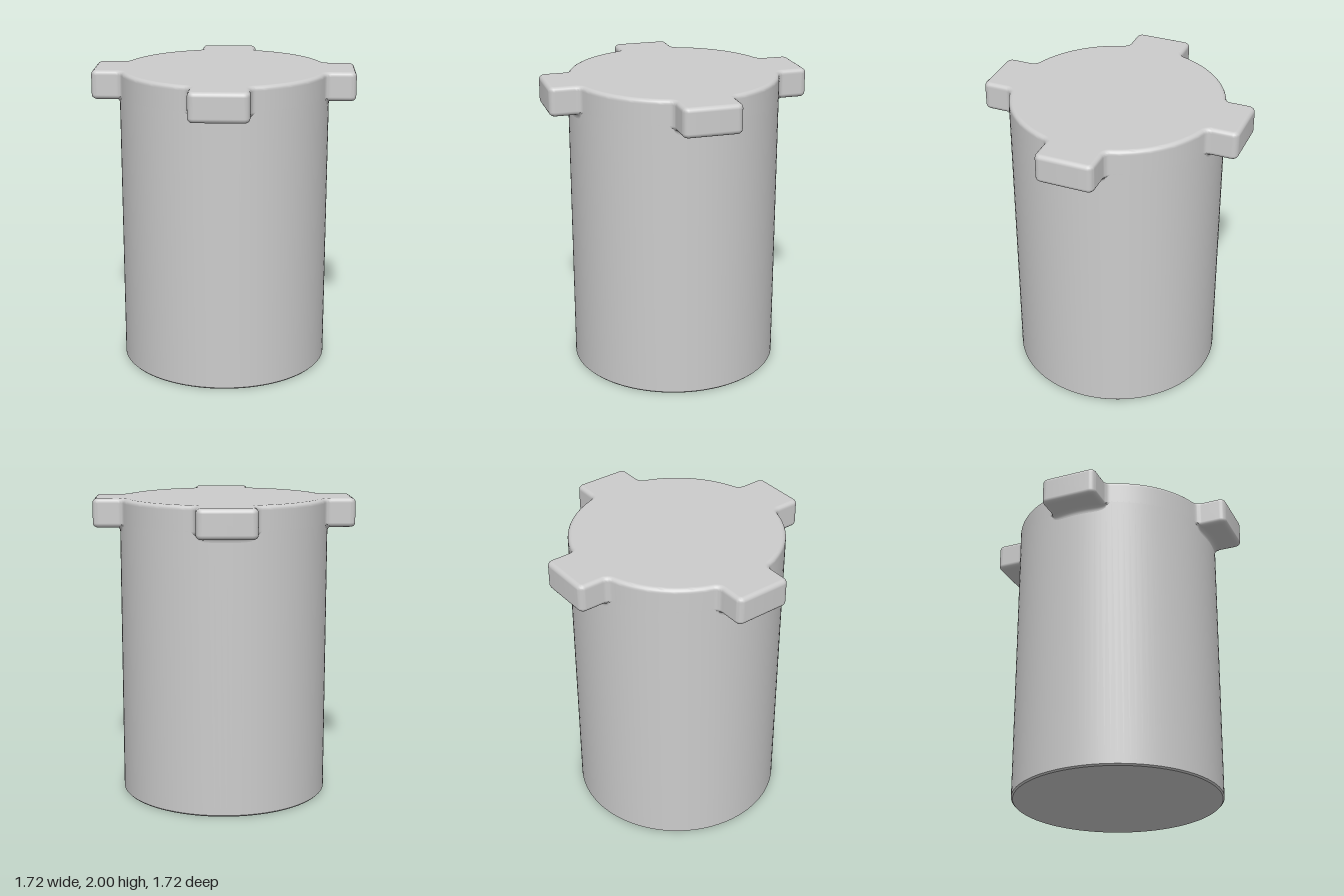
import * as THREE from 'three';
import { toCreasedNormals } from 'three/addons/utils/BufferGeometryUtils.js';

const R = 0.69;        // body radius
const L = 0.86;        // lug reach
const W = 0.19;        // lug half width
const Y0 = 1.81, Y1 = 2; // lug underside and top
const BEVEL = 0.03, FILLET = 0.045, CORNER = 0.04;

// Points along an arc, both ends included
function arc(cx, cy, r, a0, a1, n) {
  return Array.from({ length: n + 1 }, (_, i) => {
    const a = a0 + (a1 - a0) * i / n;
    return new THREE.Vector2(cx + r * Math.cos(a), cy + r * Math.sin(a));
  });
}

// Round plan with four lugs, filleted where they meet the circle
function capOutline() {
  const cy = W + FILLET;
  const cx = Math.sqrt((R + FILLET) ** 2 - cy ** 2);
  const phi = Math.atan2(cy, cx), H = Math.PI / 2;
  const quarter = [
    ...arc(cx, -cy, FILLET, Math.PI - phi, H, 6),
    ...arc(L - CORNER, -W + CORNER, CORNER, -H, 0, 6),
    ...arc(L - CORNER, W - CORNER, CORNER, 0, H, 6),
    ...arc(cx, cy, FILLET, 3 * H, Math.PI + phi, 6),
    ...arc(0, 0, R, phi, H - phi, 24).slice(1, -1),
  ];
  const origin = new THREE.Vector2();
  const points = [];
  for (let k = 0; k < 4; k++) {
    for (const p of quarter) points.push(p.clone().rotateAround(origin, k * H));
  }
  return new THREE.Shape(points);
}

// Rounded cap: flat faces keep vertical normals, walls keep horizontal ones
function capGeometry() {
  let g = new THREE.ExtrudeGeometry(capOutline(), {
    depth: Y1 - Y0 - 2 * BEVEL, bevelEnabled: true, bevelThickness: BEVEL,
    bevelSize: BEVEL, bevelOffset: -BEVEL, bevelSegments: 5,
  });
  g.rotateX(-Math.PI / 2).translate(0, Y0 + BEVEL, 0);
  g = toCreasedNormals(g, 0.7);
  const pos = g.attributes.position, nor = g.attributes.normal;
  const n = new THREE.Vector3();
  for (let i = 0; i < pos.count; i++) {
    const y = pos.getY(i);
    n.fromBufferAttribute(nor, i);
    if (y > Y1 - 1e-4) n.set(0, 1, 0);
    else if (y < Y0 + 1e-4) n.set(0, -1, 0);
    else if (y > Y0 + BEVEL - 1e-4 && y < Y1 - BEVEL + 1e-4) n.setY(0).normalize();
    nor.setXYZ(i, n.x, n.y, n.z);
  }
  return g;
}

// Concave fillet under a lug, fading out at both sides
function underFilletGeometry() {
  const f = 0.035, half = 0.3;
  const profile = arc(R + f, Y0 - f, f, Math.PI, Math.PI / 2, 6);
  const g = new THREE.LatheGeometry(profile, 24, -half, 2 * half);
  const pos = g.attributes.position;
  for (let i = 0; i < pos.count; i++) {
    const x = pos.getX(i), y = pos.getY(i), z = pos.getZ(i);
    const r = Math.hypot(x, z);
    const t = Math.sqrt(Math.max(0, 1 - Math.abs(Math.atan2(x, z) / half) ** 6));
    const s = (R + (r - R) * t) / r;
    pos.setXYZ(i, x * s, Y0 + BEVEL * (1 - t) + (y - Y0) * t, z * s);
  }
  g.computeVertexNormals();
  return g;
}

export function createModel() {
  const group = new THREE.Group();
  const material = new THREE.MeshStandardMaterial({ color: 0xcccccc });
  const add = (name, geometry) => {
    const mesh = new THREE.Mesh(geometry, material);
    mesh.name = name;
    group.add(mesh);
    return mesh;
  };

  // Solid cylinder with a slightly eased bottom edge
  const profile = [[0, 0], [R - 0.01, 0], [R, 0.01], [R, 1.85]]
    .map(([x, y]) => new THREE.Vector2(x, y));
  add('body', toCreasedNormals(new THREE.LatheGeometry(profile, 112), 0.5));

  // Top with four lugs
  add('luggedTop', capGeometry());

  // Fillets beneath the lugs
  const fillet = underFilletGeometry();
  for (let k = 0; k < 4; k++) {
    add('lugFillet' + (k + 1), fillet).rotation.y = k * Math.PI / 2;
  }
  return group;
}
